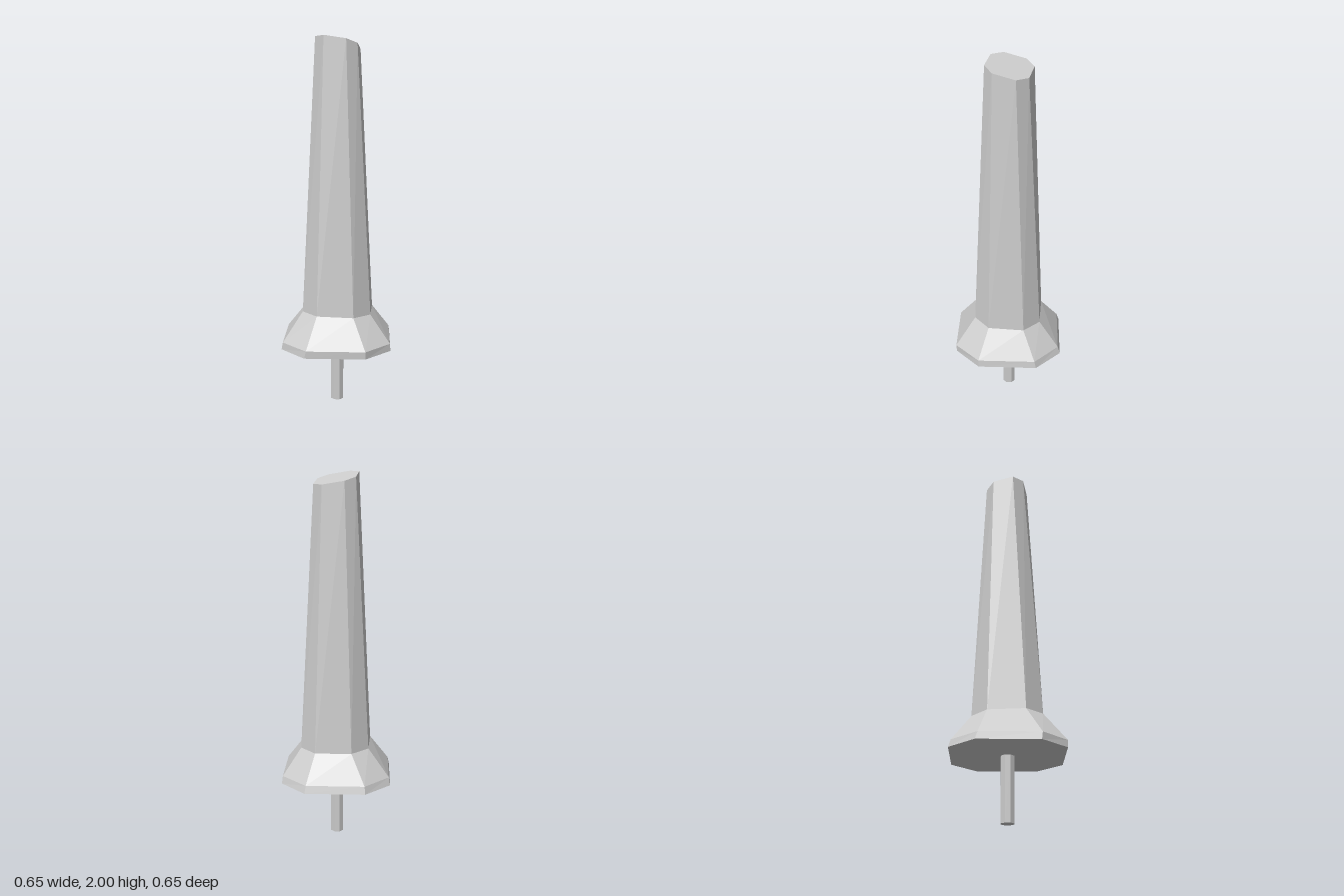
import * as THREE from 'three';

// Half-octagon rings, bottom to top; the other half mirrors through the centre.
const RINGS = [
  { y: 0.34, tilt: 0, centre: [0, 0], half: [[-0.086, -0.324], [0.104, -0.319], [0.323, -0.087], [0.318, 0.102]] },
  { y: 0.38, tilt: 0, centre: [0.006, 0.004], half: [[-0.088, -0.315], [0.101, -0.313], [0.315, -0.088], [0.313, 0.1]] },
  { y: 0.528, tilt: 0.03, centre: [0.005, -0.002], half: [[-0.045, -0.202], [0.076, -0.194], [0.203, -0.047], [0.193, 0.074]] },
  { y: 1.966, tilt: 0.3, centre: [0.001, -0.005], half: [[-0.015, -0.117], [0.062, -0.105], [0.13, -0.013], [0.116, 0.055]] },
];

function ringPoints({ y, tilt, centre, half }) {
  const offsets = [...half, ...half.map(([x, z]) => [-x, -z])];
  return offsets.map(([dx, dz]) => {
    const z = centre[1] + dz;
    return [centre[0] + dx, y + tilt * z, z];
  });
}

// Joins the given rings with flat sides and closes both ends.
function loft(rings) {
  const n = rings[0].length;
  const index = [];
  for (let i = 0; i < rings.length - 1; i++) {
    for (let j = 0; j < n; j++) {
      const a = i * n + j;
      const b = i * n + (j + 1) % n;
      index.push(b, a, a + n, b, a + n, b + n);
    }
  }
  const top = (rings.length - 1) * n;
  for (let j = 1; j < n - 1; j++) {
    index.push(0, j, j + 1);
    index.push(top, top + j + 1, top + j);
  }
  const geometry = new THREE.BufferGeometry();
  geometry.setAttribute('position', new THREE.Float32BufferAttribute(rings.flat(2), 3));
  geometry.setIndex(index);
  const flat = geometry.toNonIndexed();
  flat.computeVertexNormals();
  return flat;
}

export function createModel() {
  const model = new THREE.Group();
  const material = new THREE.MeshStandardMaterial({ color: 0xcccccc, flatShading: true });
  const rings = RINGS.map(ringPoints);

  // Flared foot with a low rim, and the tapering post cut at a slant on top
  const body = new THREE.Mesh(loft(rings), material);
  body.name = 'flaredPost';
  model.add(body);

  // Thin mounting pin underneath
  const pin = new THREE.Mesh(new THREE.CylinderGeometry(0.037, 0.037, 0.34, 8, 1, false, Math.PI / 8), material);
  pin.name = 'mountingPin';
  pin.position.y = 0.17;
  model.add(pin);

  return model;
}
